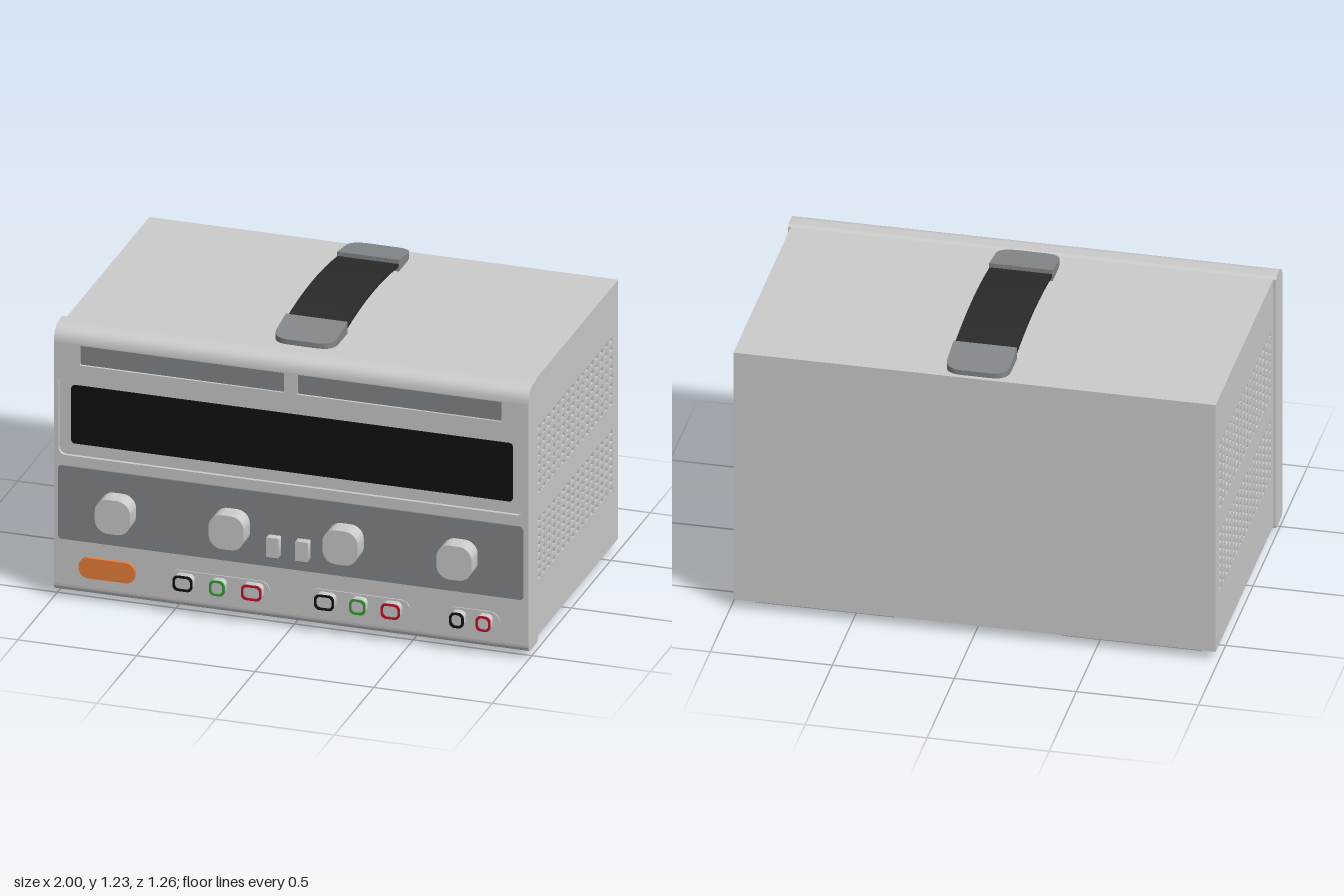
import * as THREE from 'three';
import { toCreasedNormals } from 'three/addons/utils/BufferGeometryUtils.js';

const material = (color) => new THREE.MeshStandardMaterial({ color });
const GREY = material(0xcccccc);
const DARK = material(0x84888a);
const FOOT = material(0x999999);
const BLACK = material(0x111111);
const STRAP = material(0x2a2a2a);
const ORANGE = material(0xea7f38);
const GREEN = material(0x33a033);
const RED = material(0xc0142c);

// Rounded rectangle outline centred on (x, y); works as Shape or as a hole Path
function roundRect(x, y, w, h, r, Type = THREE.Shape) {
  const s = new Type();
  const a = w / 2 - r, b = h / 2 - r;
  s.moveTo(x + a + r, y - b);
  s.absarc(x + a, y + b, r, 0, Math.PI / 2);
  s.absarc(x - a, y + b, r, Math.PI / 2, Math.PI);
  s.absarc(x - a, y - b, r, Math.PI, Math.PI * 1.5);
  s.absarc(x + a, y - b, r, Math.PI * 1.5, Math.PI * 2);
  return s;
}

function extrude(shape, depth, curveSegments = 6) {
  return new THREE.ExtrudeGeometry(shape, { depth, bevelEnabled: false, curveSegments });
}

export function createModel() {
  const model = new THREE.Group();
  model.name = 'benchPowerSupply';

  const add = (name, geometry, mat) => {
    const mesh = new THREE.Mesh(geometry, mat);
    mesh.name = name;
    model.add(mesh);
    return mesh;
  };
  const box = (name, x0, x1, y0, y1, z0, z1, mat) =>
    add(name, new THREE.BoxGeometry(x1 - x0, y1 - y0, z1 - z0), mat)
      .position.set((x0 + x1) / 2, (y0 + y1) / 2, (z0 + z1) / 2);
  // Front-facing rounded slab between depths z0 and z1
  const slab = (name, x, y, w, h, r, z0, z1, mat, wall = 0) => {
    const shape = roundRect(x, y, w, h, r);
    if (wall) shape.holes.push(roundRect(x, y, w - 2 * wall, h - 2 * wall, r - wall / 2, THREE.Path));
    add(name, toCreasedNormals(extrude(shape, z1 - z0).translate(0, 0, z0), 0.6), mat);
  };
  // Profile in (z, y) extruded across x from x0 to x1
  const across = (shape, x0, x1) =>
    extrude(shape, x1 - x0, 8).rotateY(-Math.PI / 2).translate(x1, 0, 0);

  // Case core and perforated side panels
  box('caseCore', -0.973, 0.973, 0.04, 1.17, -0.63, 0.44, GREY);
  const side = new THREE.Shape([[-0.63, 0.04], [0.44, 0.04], [0.44, 1.17], [-0.63, 1.17]]
    .map(([z, y]) => new THREE.Vector2(z, y)));
  for (const [top, step] of [[0.943, 0.0394], [0.54, 0.0353]]) {
    for (let row = 0; row < 8; row++) {
      for (let col = 0; col < 16; col++) {
        const z = 0.37 - col * 0.0608, y = top - row * step;
        const hole = new THREE.Path();
        hole.moveTo(z - 0.015, y - 0.01).lineTo(z - 0.015, y + 0.01);
        hole.lineTo(z + 0.015, y + 0.01).lineTo(z + 0.015, y - 0.01).closePath();
        side.holes.push(hole);
      }
    }
  }
  add('leftVentPanel', across(side, 0.973, 0.988), GREY);
  add('rightVentPanel', across(side, -0.988, -0.973), GREY);

  // Front bezel: rounded profile with a shallow step that takes the face plate
  const bezel = new THREE.Shape();
  bezel.moveTo(0.425, 0.04);
  bezel.lineTo(0.435, 0.03);
  bezel.lineTo(0.515, 0.03);
  bezel.quadraticCurveTo(0.545, 0.03, 0.545, 0.06);
  bezel.lineTo(0.53, 0.06);
  bezel.lineTo(0.53, 1.115);
  bezel.lineTo(0.545, 1.115);
  bezel.bezierCurveTo(0.545, 1.155, 0.515, 1.18, 0.475, 1.18);
  bezel.lineTo(0.435, 1.18);
  bezel.lineTo(0.425, 1.17);
  add('frontBezel', toCreasedNormals(across(bezel, -1, 1), 0.5), GREY);

  // Face plate with recesses for the labels and the display
  const plate = new THREE.Shape();
  plate.moveTo(-1, 0.06).lineTo(1, 0.06).lineTo(1, 1.115).lineTo(-1, 1.115).closePath();
  for (const x of [-0.46, 0.457]) plate.holes.push(roundRect(x, 1.067, 0.86, 0.086, 0.004, THREE.Path));
  plate.holes.push(roundRect(0, 0.802, 1.96, 0.355, 0.03, THREE.Path));
  add('facePlate', toCreasedNormals(extrude(plate, 0.015).translate(0, 0, 0.53), 0.5), GREY);
  for (const x of [-0.46, 0.457]) slab('labelStrip', x, 1.067, 0.86, 0.086, 0.004, 0.525, 0.535, DARK);
  slab('displayScreen', 0, 0.803, 1.86, 0.254, 0.015, 0.525, 0.536, BLACK);

  // Control panel with knobs and buttons
  slab('controlPanel', 0, 0.42, 1.96, 0.32, 0.015, 0.54, 0.552, DARK);
  for (const x of [-0.725, -0.245, 0.235, 0.715]) {
    slab('knob', x, 0.418, 0.148, 0.148, 0.055, 0.55, 0.63, GREY);
  }
  for (const x of [-0.066, 0.057]) slab('pushButton', x, 0.358, 0.054, 0.085, 0.004, 0.55, 0.585, GREY);

  // Power switch
  slab('powerSwitch', -0.772, 0.15, 0.236, 0.088, 0.038, 0.54, 0.56, ORANGE);

  // Output terminals: base plates, posts and coloured rims
  for (const [x, w] of [[-0.3, 0.425], [0.29, 0.425], [0.768, 0.225]]) {
    slab('terminalBase', x, 0.148, w, 0.084, 0.04, 0.54, 0.55, GREY);
  }
  const terminals = [
    [-0.445, 0.083, BLACK], [-0.3, 0.065, GREEN], [-0.155, 0.086, RED],
    [0.152, 0.083, BLACK], [0.292, 0.068, GREEN], [0.431, 0.08, RED],
    [0.71, 0.06, BLACK], [0.822, 0.062, RED],
  ];
  for (const [x, w, mat] of terminals) {
    slab('terminalPost', x, 0.148, w, 0.066, 0.022, 0.545, 0.58, GREY);
    slab('terminalRim', x, 0.148, w, 0.066, 0.022, 0.58, 0.586, mat, 0.009);
  }

  // Carrying handle: two wedge ends with rounded outer corners
  const handleZ = -0.105;
  for (const dir of [1, -1]) {
    const end = new THREE.Shape();
    end.moveTo(-0.13, 0.325);
    end.lineTo(0.13, 0.325);
    end.lineTo(0.13, 0.44);
    end.quadraticCurveTo(0.13, 0.505, 0.06, 0.505);
    end.lineTo(-0.06, 0.505);
    end.quadraticCurveTo(-0.13, 0.505, -0.13, 0.44);
    const geometry = extrude(end, 0.05).rotateX(Math.PI / 2);
    const p = geometry.attributes.position;
    for (let i = 0; i < p.count; i++) {
      const top = 1.192 + (0.505 - p.getZ(i)) * 0.16;
      p.setY(i, p.getY(i) > -0.01 ? top : 1.168);
    }
    geometry.computeVertexNormals();
    if (dir < 0) geometry.rotateY(Math.PI);
    add(dir > 0 ? 'frontHandleEnd' : 'rearHandleEnd', toCreasedNormals(geometry, 0.5), DARK)
      .position.z = handleZ;
  }

  // Arched strap between the ends
  const upper = [], lower = [];
  for (let i = 0; i <= 8; i++) {
    const t = i / 4 - 1;
    const y = 1.227 - 0.026 * t * t;
    upper.push(new THREE.Vector2(handleZ + t * 0.335, y));
    lower.unshift(new THREE.Vector2(handleZ + t * 0.335, y - 0.014));
  }
  add('handleStrap', across(new THREE.Shape([...upper, ...lower]), -0.128, 0.128), STRAP);

  // Feet
  for (const x of [-0.63, 0.63]) {
    for (const z of [0.235, -0.44]) {
      box('foot', x - 0.285, x + 0.285, 0, 0.042, z - 0.125, z + 0.125, FOOT);
    }
  }
  return model;
}
